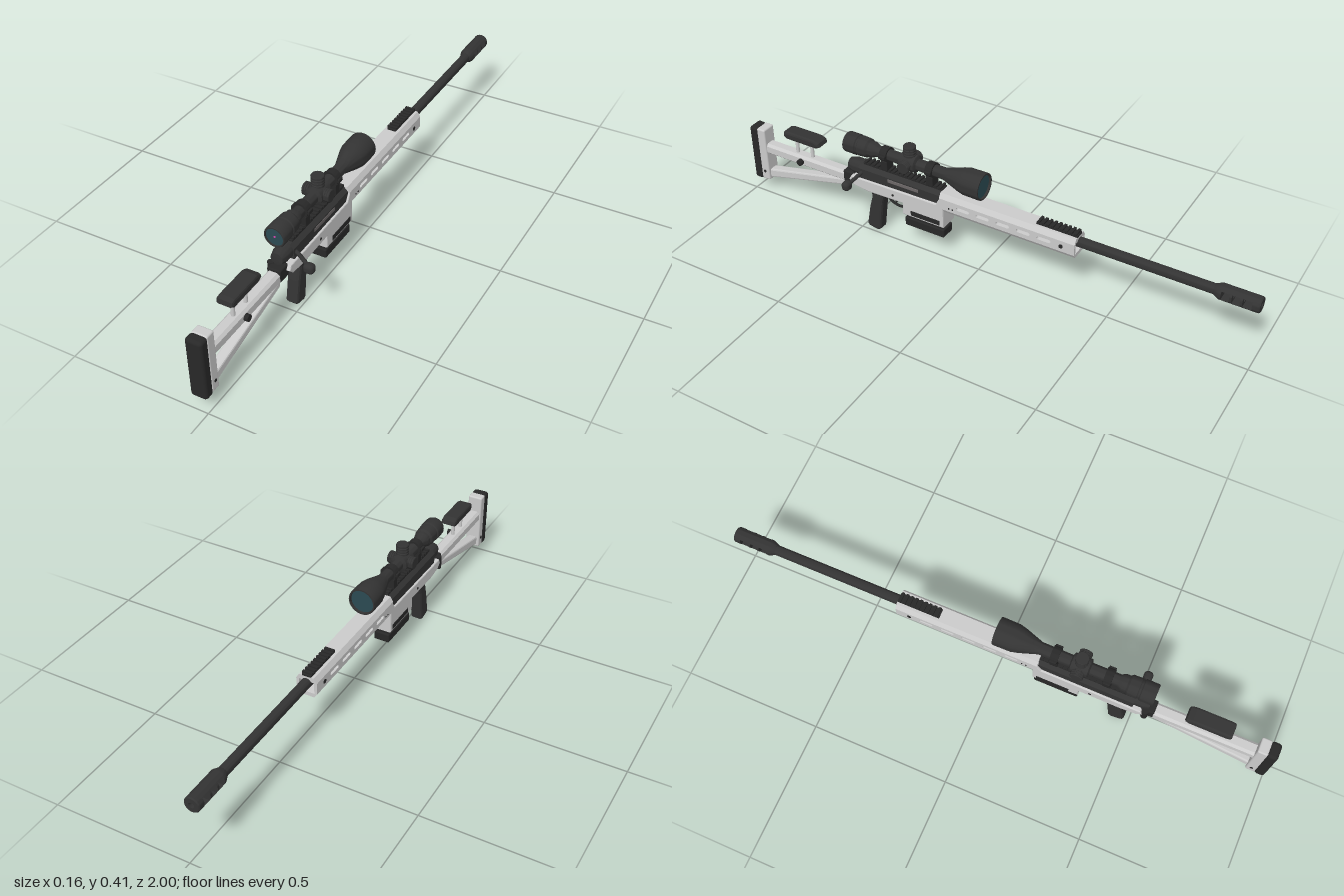
import * as THREE from 'three';
import { toCreasedNormals } from 'three/addons/utils/BufferGeometryUtils.js';
import { RoundedBoxGeometry } from 'three/addons/geometries/RoundedBoxGeometry.js';

const mat = (color) => new THREE.MeshStandardMaterial({ color });
const grey = mat(0xcccccc), dark = mat(0x333333), black = mat(0x282828);
const glass = mat(0x2b4a52), steel = mat(0x6b6666), pink = mat(0xcc44aa);

export function createModel() {
  const root = new THREE.Group();
  root.name = 'rifle';
  root.position.x = -0.03; // the bolt handle sticks out to one side

  const add = (name, geo, m, x = 0, y = 0, z = 0) => {
    const mesh = new THREE.Mesh(geo, m);
    mesh.name = name;
    mesh.position.set(x, y, z);
    root.add(mesh);
    return mesh;
  };
  const shapeOf = (pts) => new THREE.Shape(pts.map(([a, b]) => new THREE.Vector2(a, b)));

  // Side outline in (z, y), given a width along x
  const side = (shape, width, bevel = 0) => {
    const depth = width - 2 * bevel;
    const g = new THREE.ExtrudeGeometry(shape, {
      depth, bevelEnabled: bevel > 0, bevelSize: bevel, bevelThickness: bevel,
      bevelOffset: -bevel, bevelSegments: 2, curveSegments: 6,
    });
    return g.translate(0, 0, -depth / 2).rotateY(-Math.PI / 2);
  };
  // Cross-section in (x, y), run from z0 to z1
  const section = (shape, z0, z1) =>
    new THREE.ExtrudeGeometry(shape, { depth: z1 - z0, bevelEnabled: false, curveSegments: 10 }).translate(0, 0, z0);
  // Turned part along z from [radius, z] pairs in rising z
  const turned = (pts, seg = 28) => toCreasedNormals(
    new THREE.LatheGeometry(pts.map(([r, z]) => new THREE.Vector2(r, z)), seg).rotateX(Math.PI / 2), 0.6);
  const rbox = (w, h, d, r = 0.006) => new RoundedBoxGeometry(w, h, d, 3, r);
  const chamfered = (w, y0, y1, c) => shapeOf([
    [-w + c, y0], [w - c, y0], [w, y0 + c], [w, y1 - c], [w - c, y1], [-w + c, y1], [-w, y1 - c], [-w, y0 + c]]);
  const slot = (z, y, len, r) => {
    const p = new THREE.Path();
    p.absarc(z + len / 2 - r, y, r, -Math.PI / 2, Math.PI / 2, false);
    p.absarc(z - len / 2 + r, y, r, Math.PI / 2, Math.PI * 1.5, false);
    p.closePath();
    return p;
  };
  const xPeg = (name, r, len, m, x, y, z) =>
    add(name, new THREE.CylinderGeometry(r, r, len, 16).rotateZ(Math.PI / 2), m, x, y, z);

  // Barrel
  add('barrel', turned([[0, -0.87], [0.018, -0.87], [0.018, -0.4], [0.021, 0.16], [0, 0.16]]), dark, 0, 0.25);

  // Muzzle brake: solid ends and webs joined by top and bottom strips, leaving windows
  const brakeR = 0.028;
  add('muzzleBrakeTip', turned([[0.01, -0.975], [0.01, -1], [0.025, -1], [brakeR, -0.996], [brakeR, -0.975], [0.01, -0.975]]), dark, 0, 0.25);
  add('muzzleBrakeBase', turned([[0, -0.873], [brakeR, -0.873], [brakeR, -0.865], [0.019, -0.845], [0, -0.845]]), dark, 0, 0.25);
  for (const z of [-0.905, -0.94])
    add('muzzleBrakeWeb', turned([[0.01, z - 0.004], [brakeR, z - 0.004], [brakeR, z + 0.004], [0.01, z + 0.004], [0.01, z - 0.004]]), dark, 0, 0.25);
  for (const s of [0, Math.PI]) {
    const cap = new THREE.Shape();
    cap.absarc(0, 0, brakeR, 0.62 + s, Math.PI - 0.62 + s, false);
    cap.closePath();
    add('muzzleBrakeStrip', toCreasedNormals(section(cap, -0.98, -0.87), 0.5), dark, 0, 0.25);
  }

  // Hollow forend: slotted side walls with chamfered top and bottom
  const wall = shapeOf([[-0.37, 0.215], [0.155, 0.215], [0.155, 0.258], [-0.37, 0.258]]);
  for (let i = 0; i < 5; i++) wall.holes.push(slot(0.06 - i * 0.079, 0.238, 0.052, 0.0065));
  for (const s of [-1, 1]) {
    add('forendWall', side(wall, 0.01), grey, s * 0.033);
    xPeg('forendBolt', 0.008, 0.003, black, s * 0.038, 0.236, -0.32);
    for (const z of [0.115, 0.1]) xPeg('forendPin', 0.003, 0.003, black, s * 0.038, 0.228, z);
  }
  add('forendTop', section(shapeOf([[-0.038, 0.258], [0.038, 0.258], [0.027, 0.276], [-0.027, 0.276]]), -0.37, 0.155), grey);
  add('forendBottom', section(shapeOf([[-0.028, 0.2], [0.028, 0.2], [0.038, 0.215], [-0.038, 0.215]]), -0.37, 0.155), grey);
  add('slingStud', new THREE.CylinderGeometry(0.005, 0.005, 0.012, 12), black, 0, 0.197, -0.17);

  // Toothed rails
  const rail = (name, z0, z1, y) => {
    add(name, rbox(0.034, 0.01, z1 - z0, 0.002), black, 0, y, (z0 + z1) / 2);
    const n = Math.round((z1 - z0) / 0.017);
    for (let i = 0; i < n; i++)
      add(name + 'Tooth', new THREE.BoxGeometry(0.036, 0.008, 0.009), black, 0, y + 0.007, z0 + (i + 0.5) * (z1 - z0) / n);
  };
  rail('forendRail', -0.37, -0.215, 0.278);
  rail('scopeRail', 0.155, 0.485, 0.277);

  // Chassis with magazine well
  add('chassis', side(shapeOf([
    [0.14, 0.2], [0.14, 0.133], [0.31, 0.133], [0.31, 0.18], [0.46, 0.177], [0.52, 0.185],
    [0.54, 0.205], [0.53, 0.222], [0.17, 0.228], [0.155, 0.255], [0.14, 0.255]]), 0.076, 0.004), grey);
  for (const s of [-1, 1]) {
    add('wellRecess', rbox(0.004, 0.02, 0.12, 0.0015), black, s * 0.0375, 0.15, 0.215);
    xPeg('chassisPin', 0.005, 0.003, black, s * 0.038, 0.2, 0.35);
  }

  // Receiver and bolt
  add('receiver', section(chamfered(0.031, 0.205, 0.276, 0.014), 0.157, 0.5), dark);
  add('receiverTail', turned([[0, 0.49], [0.029, 0.49], [0.029, 0.53], [0.022, 0.553], [0, 0.556]]), dark, 0, 0.25);
  add('boltBody', rbox(0.006, 0.014, 0.13, 0.002), steel, 0.0295, 0.25, 0.31);
  const handle = new THREE.CatmullRomCurve3([[0.015, 0.25, 0.485], [0.04, 0.242, 0.49], [0.085, 0.222, 0.507]].map((p) => new THREE.Vector3(...p)));
  add('boltHandle', new THREE.TubeGeometry(handle, 12, 0.007, 10), dark);
  add('boltKnob', rbox(0.038, 0.036, 0.032, 0.014), dark, 0.091, 0.218, 0.51);

  // Magazine
  add('magazine', rbox(0.052, 0.04, 0.15, 0.005), black, 0, 0.12, 0.225);
  add('magazineBase', rbox(0.06, 0.036, 0.164, 0.006), black, 0, 0.1, 0.225);

  // Grip, trigger and guard
  add('grip', side(shapeOf([
    [0.395, 0.19], [0.41, 0.13], [0.425, 0.01], [0.435, 0.001], [0.475, 0.008], [0.483, 0.018],
    [0.468, 0.1], [0.455, 0.15], [0.462, 0.185]]), 0.046, 0.01), dark);
  const loop = (pts) => new THREE.CatmullRomCurve3(pts.map(([z, y]) => new THREE.Vector3(0, y, z)));
  add('triggerGuard', new THREE.TubeGeometry(loop([[0.4, 0.165], [0.38, 0.142], [0.35, 0.132], [0.322, 0.138], [0.308, 0.165]]), 20, 0.005, 8), black);
  add('trigger', new THREE.TubeGeometry(loop([[0.355, 0.185], [0.352, 0.165], [0.362, 0.145]]), 10, 0.004, 8), black);

  // Folding hinge and open-frame stock
  add('hinge', rbox(0.05, 0.048, 0.05, 0.006), black, 0, 0.2, 0.55);
  add('hingePin', new THREE.CylinderGeometry(0.012, 0.012, 0.05, 16), black, -0.027, 0.2, 0.545);
  add('stockTube', section(chamfered(0.023, 0.172, 0.215, 0.009), 0.565, 0.94), grey);
  add('stockStrut', side(shapeOf([[0.565, 0.182], [0.565, 0.155], [0.94, 0.062], [0.94, 0.098]]), 0.036, 0.006), grey);
  add('buttPlate', rbox(0.056, 0.222, 0.036, 0.006), grey, 0, 0.166, 0.948);
  add('buttPad', rbox(0.06, 0.228, 0.038, 0.012), black, 0, 0.164, 0.981);
  for (const s of [-1, 1]) xPeg('buttBolt', 0.006, 0.003, black, s * 0.028, 0.092, 0.948);

  // Adjustable cheek rest
  add('cheekRest', side(shapeOf([
    [0.675, 0.285], [0.69, 0.276], [0.825, 0.276], [0.838, 0.285], [0.836, 0.303], [0.82, 0.307], [0.7, 0.307], [0.68, 0.299]]), 0.058, 0.008), dark);
  for (const z of [0.73, 0.798])
    add('cheekPost', new THREE.CylinderGeometry(0.007, 0.007, 0.075, 14), grey, 0, 0.243, z);
  xPeg('cheekKnob', 0.012, 0.016, black, 0.029, 0.194, 0.768);

  // Scope body with flared objective and eyepiece
  const sy = 0.34;
  add('scopeBody', turned([
    [0, 0.012], [0.043, 0.012], [0.044, -0.006], [0.049, -0.006], [0.05, 0.0], [0.049, 0.06], [0.043, 0.085],
    [0.03, 0.125], [0.022, 0.15], [0.021, 0.26], [0.032, 0.265], [0.032, 0.325], [0.021, 0.33],
    [0.021, 0.43], [0.029, 0.445], [0.029, 0.46], [0.035, 0.467], [0.037, 0.5], [0.034, 0.503], [0.034, 0.509],
    [0.038, 0.512], [0.038, 0.556], [0.036, 0.56], [0.032, 0.56], [0.032, 0.552], [0, 0.552]], 32), dark, 0, sy);
  add('objectiveLens', new THREE.CircleGeometry(0.043, 32).rotateY(Math.PI), glass, 0, sy, 0.002);
  add('eyepieceLens', new THREE.CircleGeometry(0.032, 32), glass, 0, sy, 0.555);
  add('reticleDot', new THREE.BoxGeometry(0.006, 0.006, 0.002), pink, 0, sy, 0.556);

  // Ridged turrets: one on top, one on each side
  const turret = (name, h) => {
    const pts = [[0, 0], [0.018, 0], [0.018, h * 0.4]];
    for (let i = 0; i < 4; i++) {
      const a = h * (0.4 + i * 0.15);
      pts.push([0.023, a + h * 0.02], [0.023, a + h * 0.11], [0.021, a + h * 0.15]);
    }
    pts.push([0, h]);
    return add(name, turned(pts, 24), dark, 0, sy, 0.295);
  };
  turret('elevationTurret', 0.068).rotation.x = -Math.PI / 2;
  turret('windageTurret', 0.05).rotation.y = Math.PI / 2;
  turret('focusTurret', 0.05).rotation.y = -Math.PI / 2;

  // Scope rings on their clamps
  for (const z of [0.205, 0.395]) {
    add('scopeRing', turned([[0.02, z - 0.014], [0.028, z - 0.014], [0.028, z + 0.014], [0.02, z + 0.014]]), black, 0, sy);
    add('ringClamp', rbox(0.042, 0.04, 0.028, 0.003), black, 0, 0.3, z);
    for (const s of [-1, 1]) add('ringScrewLug', rbox(0.012, 0.014, 0.026, 0.003), black, s * 0.028, sy, z);
  }

  const model = new THREE.Group();
  model.add(root);
  return model;
}
